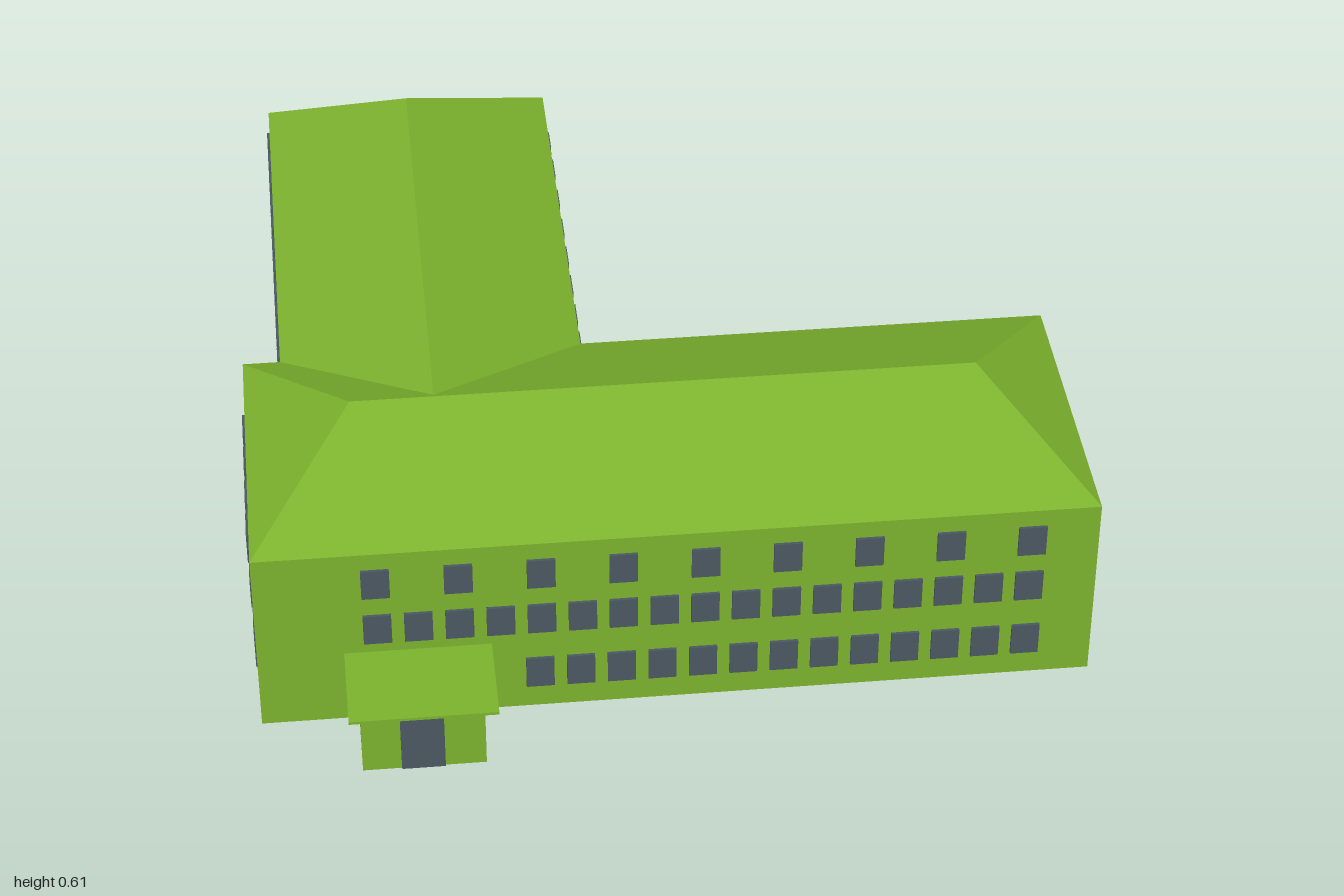
import * as THREE from 'three';

const green = new THREE.MeshStandardMaterial({ color: 0x7cb32e, flatShading: true });
const glass = new THREE.MeshStandardMaterial({ color: 0x4a5862, flatShading: true });
const EAVE = 0.46;

function box(parent, name, mat, x0, x1, y0, y1, z0, z1) {
  const mesh = new THREE.Mesh(new THREE.BoxGeometry(x1 - x0, y1 - y0, z1 - z0), mat);
  mesh.position.set((x0 + x1) / 2, (y0 + y1) / 2, (z0 + z1) / 2);
  mesh.name = name;
  parent.add(mesh);
}

// Roof surface from corner points and polygon faces (counter-clockwise from outside)
function roof(name, points, faces) {
  const pos = [];
  for (const f of faces)
    for (let i = 1; i < f.length - 1; i++) pos.push(...points[f[0]], ...points[f[i]], ...points[f[i + 1]]);
  const geo = new THREE.BufferGeometry();
  geo.setAttribute('position', new THREE.Float32BufferAttribute(pos, 3));
  geo.computeVertexNormals();
  const mesh = new THREE.Mesh(geo, green);
  mesh.name = name;
  return mesh;
}

const series = (start, step, count) => Array.from({ length: count }, (_, i) => start + i * step);

// Panels on a wall lying at a constant x or z, one per centre and row
function panels(parent, name, axis, at, centres, width, rows, out = 0.007) {
  const group = new THREE.Group();
  group.name = name;
  for (const c of centres)
    for (const [y0, y1] of rows) {
      const a = c - width / 2, b = c + width / 2;
      if (axis === 'x') box(group, 'window', glass, at - out, at + out, y0, y1, a, b);
      else box(group, 'window', glass, a, b, y0, y1, at - out, at + out);
    }
  parent.add(group);
}

export function createModel() {
  const model = new THREE.Group();
  model.name = 'building';

  // Walls: L-shaped footprint
  const outline = [[-0.925, 0.775], [0.925, 0.775], [0.925, 0.06], [-0.15, 0.06],
    [-0.15, -0.995], [-0.84, -0.995], [-0.84, 0.06], [-0.925, 0.06]];
  const shape = new THREE.Shape(outline.map(([x, z]) => new THREE.Vector2(x, -z)));
  const wallGeo = new THREE.ExtrudeGeometry(shape, { depth: EAVE, bevelEnabled: false });
  wallGeo.rotateX(-Math.PI / 2);
  const walls = new THREE.Mesh(wallGeo, green);
  walls.name = 'walls';
  model.add(walls);

  // Hipped roofs, the wing's running into the main one along two valleys
  model.add(roof('mainRoof', [
    [-0.925, EAVE, 0.775], [0.925, EAVE, 0.775], [0.925, EAVE, 0.06], [-0.925, EAVE, 0.06],
    [-0.69, 0.61, 0.425], [0.7, 0.61, 0.425],
  ], [[0, 1, 5, 4], [1, 2, 5], [2, 3, 4, 5], [3, 0, 4]]));
  model.add(roof('wingRoof', [
    [-0.15, EAVE, 0.06], [-0.15, EAVE, -0.995], [-0.84, EAVE, -0.995], [-0.84, EAVE, 0.06],
    [-0.5, 0.605, -0.8], [-0.505, 0.605, 0.413],
  ], [[0, 1, 4, 5], [1, 2, 4], [2, 3, 5, 4]]));

  // Entrance porch
  const porch = new THREE.Group();
  porch.name = 'porch';
  box(porch, 'porchWalls', green, -0.71, -0.44, 0, 0.18, 0.77, 0.95);
  box(porch, 'porchRoof', green, -0.735, -0.412, 0.18, 0.187, 0.77, 1);
  box(porch, 'entranceDoor', glass, -0.625, -0.53, 0.01, 0.157, 0.94, 0.965);
  model.add(porch);

  // Window rows by storey
  const top = [0.342, 0.418], mid = [0.215, 0.292], low = [0.055, 0.15];
  const all = [top, mid, low];

  // Front
  panels(model, 'frontTopWindows', 'z', 0.775, series(-0.66, 0.1795, 9), 0.062, [top]);
  panels(model, 'frontMiddleWindows', 'z', 0.775, series(-0.66, 0.0897, 17), 0.062, [mid]);
  panels(model, 'frontLowWindows', 'z', 0.775, series(-0.307, 0.0902, 13), 0.062, [[0.06, 0.14]]);

  // Left end of the main block
  panels(model, 'leftStairWindows', 'x', 0.925, [0.555], 0.07, [top, [0.17, 0.292]]);
  panels(model, 'leftEndWindows', 'x', 0.925, [0.315, 0.2], 0.065, [top, mid, [0.09, 0.14]]);

  // Right end of the main block
  panels(model, 'rightEndWindows', 'x', -0.925, [0.235, 0.352, 0.475, 0.592], 0.078, [top, mid, [0.04, 0.152]]);

  // Courtyard walls, each with a glazed stair above a door
  const stair = [[0.113, 0.238], [0.25, 0.382], [0.395, 0.418]];
  panels(model, 'backWindows', 'z', 0.06, [-0.08, 0.035, 0.15, 0.452, 0.567, 0.682, 0.792], 0.068, all);
  panels(model, 'backStairWindows', 'z', 0.06, [0.3], 0.068, stair);
  panels(model, 'backDoor', 'z', 0.06, [0.3], 0.076, [[0.002, 0.1]], 0.014);
  panels(model, 'courtWindows', 'x', -0.15, [-0.01, -0.12, -0.24, -0.36, -0.48, -0.74, -0.862], 0.068, all);
  panels(model, 'courtStairWindows', 'x', -0.15, [-0.605], 0.068, stair);
  panels(model, 'courtDoor', 'x', -0.15, [-0.605], 0.076, [[0.002, 0.1]], 0.018);

  // Outer side and end of the wing
  panels(model, 'wingSideWindows', 'x', -0.84, series(-0.935, 0.0915, 11), 0.066, all);
  panels(model, 'wingEndWindows', 'z', -0.995, [-0.445, -0.315], 0.066, [top, mid], 0.005);

  return model;
}
